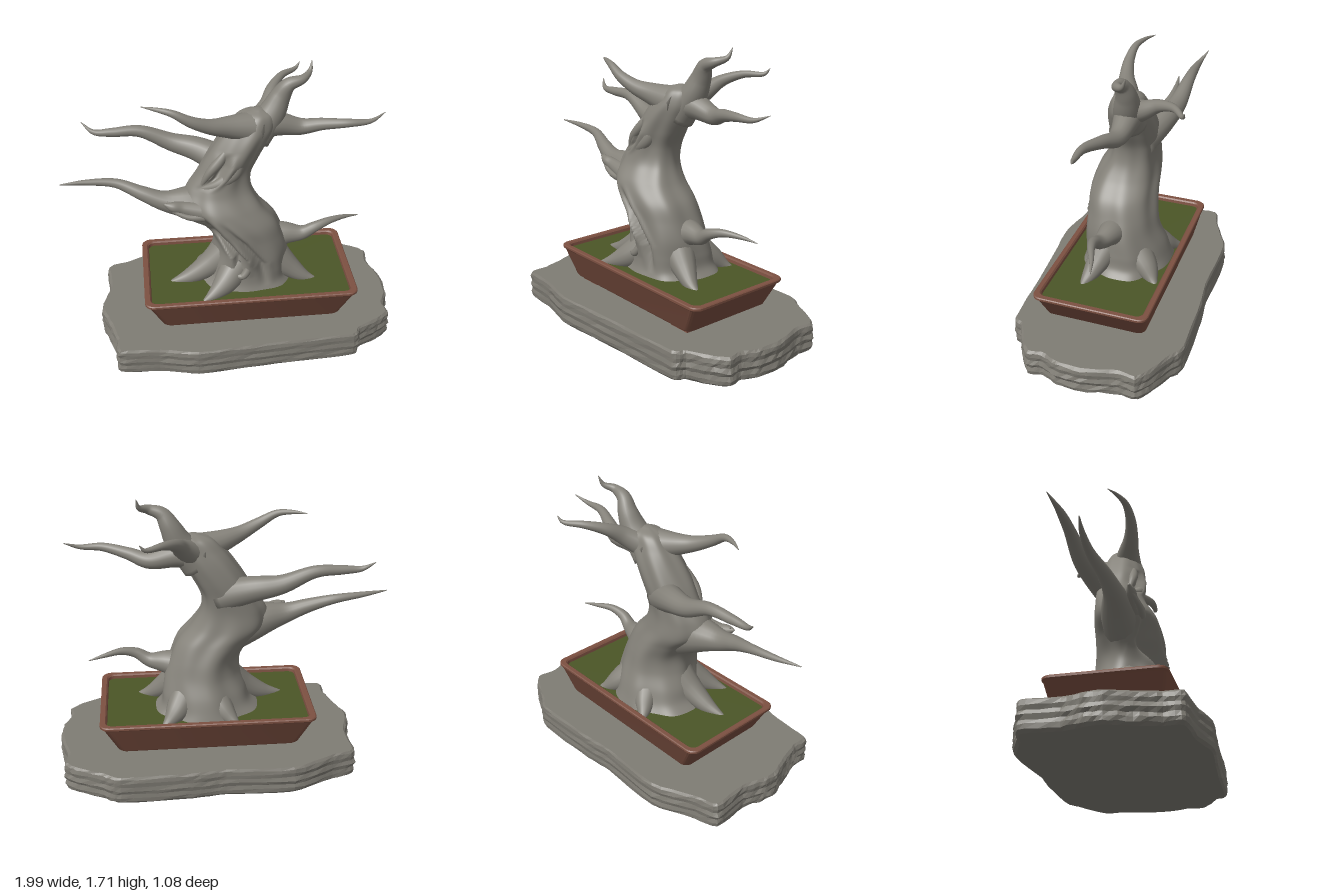
import * as THREE from 'three';
import { toCreasedNormals } from 'three/addons/utils/BufferGeometryUtils.js';

const V = (x, y, z) => new THREE.Vector3(x, y, z);
const material = (name, color) => {
  const m = new THREE.MeshStandardMaterial({ color });
  m.name = name;
  return m;
};

// Skin a list of rings (each a loop of Vector3), with optional end caps
function loft(rings, capStart = true, capEnd = true) {
  const n = rings[0].length, pos = [], idx = [];
  rings.forEach(r => r.forEach(p => pos.push(p.x, p.y, p.z)));
  for (let r = 0; r < rings.length - 1; r++)
    for (let i = 0; i < n; i++) {
      const a = r * n + i, b = r * n + (i + 1) % n;
      idx.push(a, a + n, b, b, a + n, b + n);
    }
  const cap = (ring, first, flip) => {
    const c = ring.reduce((s, p) => s.add(p), V(0, 0, 0)).divideScalar(n);
    const k = pos.length / 3;
    pos.push(c.x, c.y, c.z);
    for (let i = 0; i < n; i++) {
      const a = first + i, b = first + (i + 1) % n;
      flip ? idx.push(a, b, k) : idx.push(b, a, k);
    }
  };
  if (capStart) cap(rings[0], 0, true);
  if (capEnd) cap(rings[rings.length - 1], (rings.length - 1) * n, false);
  const g = new THREE.BufferGeometry();
  g.setAttribute('position', new THREE.Float32BufferAttribute(pos, 3));
  g.setIndex(idx);
  g.computeVertexNormals();
  return g;
}

// Smooth tapering limb through points [x, y, z, radius]
function limb(pts, steps = 40, sides = 16) {
  const path = new THREE.CatmullRomCurve3(pts.map(p => V(p[0], p[1], p[2])), false, 'catmullrom');
  const rad = new THREE.CatmullRomCurve3(pts.map(p => V(p[3], 0, 0)), false, 'catmullrom');
  const N = V(0.13, 0.2, 1), rings = [];
  for (let s = 0; s <= steps; s++) {
    const t = s / steps, c = path.getPoint(t), T = path.getTangent(t);
    const r = Math.max(rad.getPoint(t).x, 0.002);
    N.addScaledVector(T, -N.dot(T)).normalize();
    const B = N.clone().cross(T);
    rings.push(Array.from({ length: sides }, (_, i) => {
      const a = i / sides * Math.PI * 2;
      return c.clone().addScaledVector(N, Math.cos(a) * r).addScaledVector(B, Math.sin(a) * r);
    }));
  }
  return loft(rings);
}

// Trunk: stacked ovals [y, centre x, centre z, radius x, radius z]
const TRUNK = [
  [0.36, 0.08, -0.03, 0.33, 0.27], [0.42, 0.09, -0.03, 0.27, 0.25], [0.5, 0.1, -0.02, 0.25, 0.235],
  [0.6, 0.11, 0, 0.225, 0.215], [0.7, 0.09, 0.01, 0.21, 0.205], [0.8, 0.03, 0.02, 0.225, 0.2],
  [0.9, -0.06, 0.015, 0.23, 0.185], [1.0, -0.08, -0.01, 0.195, 0.15], [1.1, -0.05, -0.025, 0.16, 0.14],
  [1.2, 0, -0.03, 0.155, 0.14], [1.3, 0.06, -0.035, 0.15, 0.13], [1.38, 0.11, -0.04, 0.14, 0.11],
  [1.45, 0.14, -0.045, 0.1, 0.08], [1.48, 0.15, -0.045, 0.02, 0.02],
];
// Weathered grooves down the front: x as a function of height
const GROOVES = [
  { top: 0.9, low: 0.47, x: [-0.2, -0.11, 0.02, 0.03], depth: 0.06, width: 0.028 },
  { top: 0.88, low: 0.4, x: [-0.1, 0.04, 0.15, 0.19], depth: 0.035, width: 0.022 },
  { top: 1.26, low: 1.04, x: [-0.04, -0.06, -0.1, -0.17], depth: 0.04, width: 0.025 },
];
function trunkGeometry() {
  const mid = new THREE.CatmullRomCurve3(TRUNK.map(r => V(r[1], r[0], r[2])), false, 'catmullrom');
  const rad = new THREE.CatmullRomCurve3(TRUNK.map(r => V(r[3], 0, r[4])), false, 'catmullrom');
  const rings = [], steps = 104, sides = 112;
  for (let s = 0; s <= steps; s++) {
    const c = mid.getPoint(s / steps), r = rad.getPoint(s / steps), ring = [];
    for (let i = 0; i < sides; i++) {
      const a = i / sides * Math.PI * 2;
      const k = 1 + 0.03 * Math.cos(5 * a + c.y * 4) + 0.015 * Math.cos(9 * a - c.y * 5);
      const p = V(c.x + Math.cos(a) * r.x * k, c.y, c.z + Math.sin(a) * r.z * k);
      if (Math.sin(a) > 0) for (const g of GROOVES) {
        const t = (g.top - c.y) / (g.top - g.low);
        if (t < 0 || t > 1) continue;
        const f = t * 3, j = Math.min(2, Math.floor(f));
        const d = (p.x - THREE.MathUtils.lerp(g.x[j], g.x[j + 1], f - j)) / g.width;
        p.z += g.depth * Math.sin(Math.PI * t) * (0.4 * Math.exp(-((Math.abs(d) - 1.8) ** 2)) - Math.exp(-d * d));
      }
      ring.push(p);
    }
    rings.push(ring);
  }
  return loft(rings);
}

const LIMBS = {
  lowerLeftBranch: [[-0.02, 0.82, 0, 0.13], [-0.22, 0.9, 0.01, 0.11], [-0.4, 0.935, 0.02, 0.062], [-0.53, 0.985, 0, 0.043],
    [-0.68, 1.04, -0.04, 0.028], [-0.85, 1.06, -0.035, 0.017], [-1, 1.07, -0.01, 0.003]],
  middleLeftBranch: [[0, 1.1, -0.06, 0.1], [-0.18, 1.17, -0.15, 0.075], [-0.34, 1.21, -0.19, 0.055], [-0.52, 1.285, -0.205, 0.036],
    [-0.68, 1.29, -0.2, 0.027], [-0.79, 1.295, -0.205, 0.016], [-0.86, 1.345, -0.24, 0.002]],
  upperLeftBranch: [[0.14, 1.37, -0.03, 0.1], [-0.02, 1.405, 0.02, 0.065], [-0.13, 1.435, 0.06, 0.045], [-0.24, 1.485, 0.085, 0.032],
    [-0.34, 1.54, 0.08, 0.021], [-0.43, 1.555, 0.05, 0.012], [-0.51, 1.555, 0.01, 0.002]],
  crownBranch: [[0.13, 1.3, -0.05, 0.1], [0.23, 1.43, -0.07, 0.08], [0.28, 1.53, -0.08, 0.06], [0.325, 1.605, -0.07, 0.042],
    [0.4, 1.635, -0.07, 0.027], [0.45, 1.66, -0.115, 0.015], [0.465, 1.715, -0.14, 0.002]],
  backBranch: [[0.14, 1.36, -0.06, 0.08], [0.22, 1.43, -0.16, 0.055], [0.26, 1.49, -0.26, 0.035], [0.33, 1.525, -0.36, 0.022],
    [0.42, 1.53, -0.43, 0.013], [0.455, 1.565, -0.45, 0.002]],
  upperRightBranch: [[0.1, 1.36, -0.05, 0.1], [0.25, 1.365, -0.07, 0.075], [0.4, 1.335, -0.07, 0.05], [0.52, 1.365, -0.03, 0.036],
    [0.66, 1.39, 0.02, 0.025], [0.79, 1.395, 0.02, 0.014], [0.88, 1.43, -0.01, 0.002]],
  lowerRightBranch: [[0.18, 0.6, 0, 0.12], [0.31, 0.64, 0.01, 0.075], [0.42, 0.65, 0.03, 0.045], [0.5, 0.695, 0.04, 0.032],
    [0.59, 0.72, 0.02, 0.022], [0.69, 0.715, -0.02, 0.013], [0.785, 0.7, -0.05, 0.002]],
  leftRoot: [[0, 0.56, 0, 0.12], [-0.14, 0.46, 0.03, 0.08], [-0.27, 0.39, 0.05, 0.05], [-0.4, 0.36, 0.07, 0.01]],
  frontRoot: [[0.02, 0.5, 0.1, 0.1], [-0.06, 0.43, 0.18, 0.075], [-0.14, 0.385, 0.24, 0.04], [-0.22, 0.36, 0.29, 0.005]],
  rightRoot: [[0.22, 0.54, 0.04, 0.11], [0.34, 0.44, 0.08, 0.07], [0.43, 0.38, 0.11, 0.04], [0.52, 0.355, 0.13, 0.005]],
  backRoot: [[0.06, 0.5, -0.12, 0.1], [0.0, 0.43, -0.21, 0.07], [-0.05, 0.385, -0.27, 0.04], [-0.1, 0.355, -0.33, 0.005]],
  backRightRoot: [[0.2, 0.5, -0.1, 0.1], [0.27, 0.42, -0.2, 0.07], [0.33, 0.37, -0.26, 0.03], [0.38, 0.35, -0.3, 0.005]],
  brokenSnag: [[-0.18, 0.9, 0.1, 0.06], [-0.3, 0.93, 0.1, 0.04], [-0.36, 0.95, 0.11, 0.03], [-0.41, 0.97, 0.11, 0.006]],
  snagSplinter: [[-0.18, 0.88, 0.13, 0.03], [-0.27, 0.89, 0.14, 0.018], [-0.36, 0.93, 0.12, 0.012], [-0.39, 0.98, 0.1, 0.003]],
  upperBurl: [[-0.2, 1.03, 0.06, 0.015], [-0.1, 1.07, 0.09, 0.03], [0, 1.14, 0.08, 0.042], [0.015, 1.22, 0.06, 0.04], [-0.03, 1.285, 0.05, 0.012]],
  upperFold: [[-0.19, 1.05, 0.06, 0.012], [-0.14, 1.14, 0.07, 0.025], [-0.08, 1.21, 0.06, 0.03], [-0.03, 1.285, 0.05, 0.012]],
  hollowLip: [[0.08, 0.62, 0.19, 0.01], [0.075, 0.54, 0.2, 0.022], [0.04, 0.485, 0.21, 0.022], [-0.01, 0.49, 0.2, 0.01]],
};

// Rounded rectangle loop at height y
const CX = 0.087;
function roundedRing(hx, hz, y, r) {
  const out = [];
  for (let q = 0; q < 4; q++) for (let i = 0; i <= 6; i++) {
    const a = (q + i / 6) * Math.PI / 2;
    const sx = q === 0 || q === 3 ? 1 : -1, sz = q < 2 ? 1 : -1;
    out.push(V(CX + sx * (hx - r) + Math.cos(a) * r, y, sz * (hz - r) + Math.sin(a) * r));
  }
  return out;
}

// Irregular stone slab
const OUTLINE = [
  [0.99, -0.05], [0.98, 0.1], [0.94, 0.2], [0.95, 0.29], [0.86, 0.36], [0.74, 0.42], [0.69, 0.48], [0.3, 0.5], [0, 0.52],
  [-0.27, 0.54], [-0.5, 0.49], [-0.74, 0.47], [-0.75, 0.36], [-0.79, 0.22], [-0.84, 0.08], [-0.83, -0.02], [-0.79, -0.15],
  [-0.8, -0.37], [-0.66, -0.42], [-0.41, -0.53], [0, -0.52], [0.2, -0.54], [0.62, -0.55], [0.72, -0.5], [0.88, -0.42],
  [0.95, -0.36], [0.94, -0.25],
];
function slabGeometry() {
  let seed = 7;
  const rnd = () => (seed = (seed * 16807) % 2147483647) / 2147483647;
  const curve = new THREE.CatmullRomCurve3(OUTLINE.map(p => V(p[0], 0, p[1])), true, 'catmullrom', 0.3);
  const levels = [[0.01, 0.035], [0.025, 0.01], [0.05, 0.004], [0.075, 0.012], [0.1, 0], [0.125, 0.01], [0.15, 0.004], [0.175, 0.01], [0.188, 0.025]];
  const n = 108;
  return loft(levels.map(([y, inset], l) => Array.from({ length: n }, (_, i) => {
    const p = curve.getPoint(i / n);
    const k = 1 - inset - rnd() * 0.008;
    const edge = l === 0 || l === levels.length - 1;
    return V(0.08 + (p.x - 0.08) * k + 0.004, edge ? y : y + (rnd() - 0.5) * 0.008, p.z * k);
  })));
}

export function createModel() {
  const bark = material('weathered bark', 0x85827a);
  const stone = material('stone', 0x7f7c74);
  stone.flatShading = true;
  const clay = material('clay', 0x7c5041);
  const moss = material('moss', 0x4b5627);

  const model = new THREE.Group();
  model.name = 'bonsaiTree';
  const add = (parent, name, geometry, mat) => {
    const m = new THREE.Mesh(geometry, mat);
    m.name = name;
    parent.add(m);
    return m;
  };

  add(model, 'stoneSlab', slabGeometry(), stone);

  // Pot with sloping walls, thin rim and four feet
  const pot = new THREE.Group();
  pot.name = 'pot';
  model.add(pot);
  add(pot, 'potBody', toCreasedNormals(loft([
    roundedRing(0.53, 0.297, 0.212, 0.04), roundedRing(0.545, 0.304, 0.222, 0.045), roundedRing(0.625, 0.338, 0.375, 0.05),
    roundedRing(0.643, 0.345, 0.385, 0.055), roundedRing(0.643, 0.345, 0.397, 0.055), roundedRing(0.638, 0.34, 0.402, 0.052),
    roundedRing(0.612, 0.316, 0.402, 0.045), roundedRing(0.604, 0.308, 0.394, 0.04), roundedRing(0.595, 0.3, 0.34, 0.04),
  ], true, false), 0.6), clay);
  for (const x of [-0.34, 0.51]) for (const z of [-0.2, 0.22]) {
    const foot = add(pot, 'potFoot', new THREE.BoxGeometry(0.14, 0.03, 0.1), clay);
    foot.position.set(x, 0.2, z);
  }
  add(model, 'mossBed', loft([roundedRing(0.602, 0.306, 0.376, 0.04)], false, true), moss);

  // Tree
  const tree = new THREE.Group();
  tree.name = 'tree';
  model.add(tree);
  add(tree, 'trunk', trunkGeometry(), bark);
  for (const [name, pts] of Object.entries(LIMBS)) add(tree, name, limb(pts), bark);

  return model;
}
